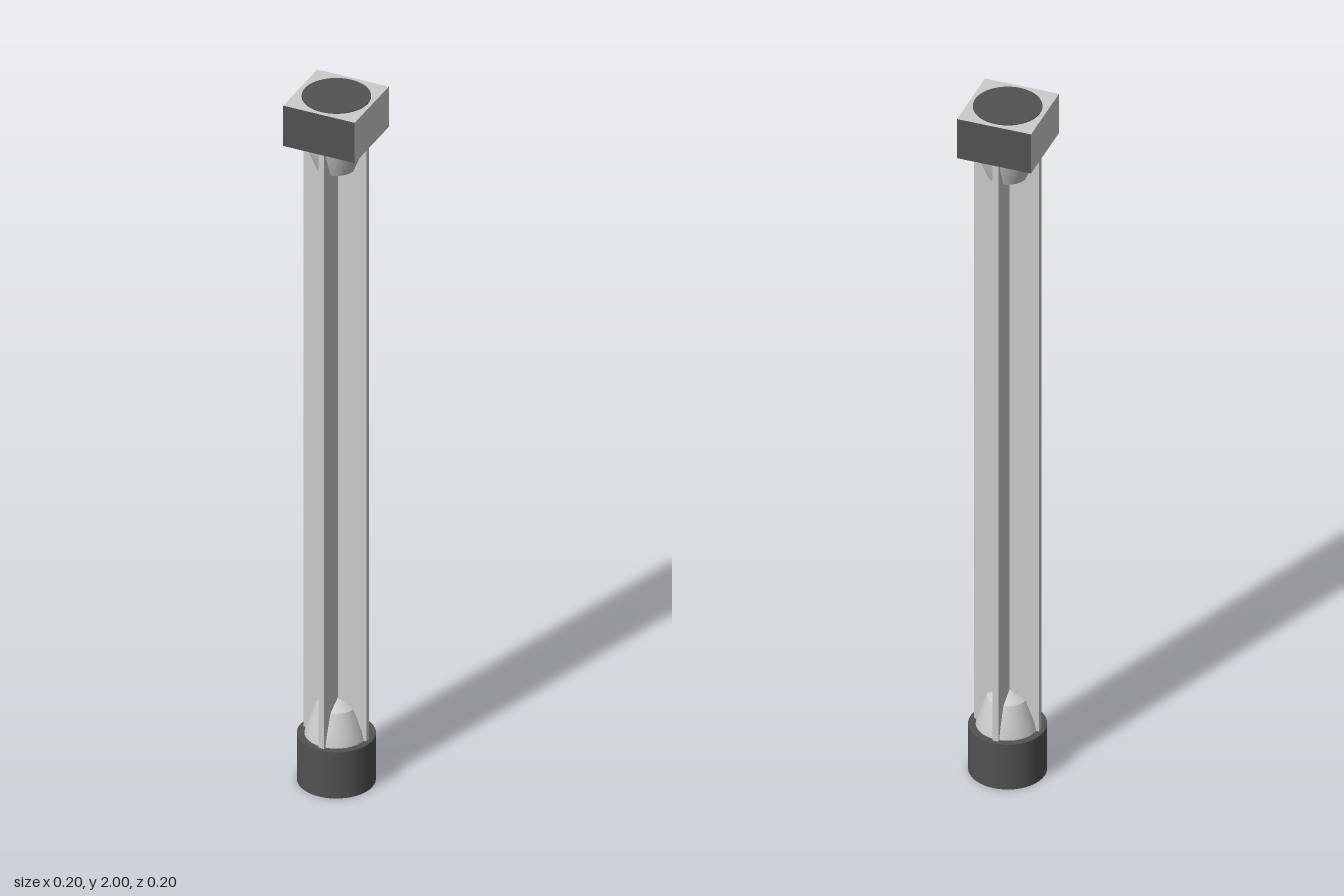
import * as THREE from 'three';
import { toCreasedNormals } from 'three/addons/utils/BufferGeometryUtils.js';

const light = new THREE.MeshStandardMaterial({ color: 0xcccccc });
const dark = new THREE.MeshStandardMaterial({ color: 0x525252 });

const SHAFT_BOTTOM = 0.12, SHAFT_TOP = 1.89, FIN_REACH = 0.088, FIN_THICKNESS = 0.016;

export function createModel() {
  const group = new THREE.Group();

  function add(name, geometry, material, x, y, z) {
    const mesh = new THREE.Mesh(geometry, material);
    mesh.name = name;
    mesh.position.set(x, y, z);
    group.add(mesh);
    return mesh;
  }

  // Round dark foot
  add('base', new THREE.CylinderGeometry(0.1, 0.1, 0.135, 48), dark, 0, 0.0675, 0);

  // Square head: light sides, dark front and back
  add('head', new THREE.BoxGeometry(0.2, 0.118, 0.2),
    [light, light, light, light, dark, dark], -0.001, 1.939, 0);

  // Dark disc set on top of the head
  add('topDisc', new THREE.CylinderGeometry(0.088, 0.088, 0.004, 48), dark, 0, 1.998, 0);

  // Cross-shaped shaft: four fins around the axis
  const shaftHeight = SHAFT_TOP - SHAFT_BOTTOM;
  const fins = new THREE.Group();
  fins.name = 'shaft';
  for (let i = 0; i < 4; i++) {
    const geometry = new THREE.BoxGeometry(FIN_REACH, shaftHeight, FIN_THICKNESS);
    geometry.translate(FIN_REACH / 2, SHAFT_BOTTOM + shaftHeight / 2, 0);
    const fin = new THREE.Mesh(geometry, light);
    fin.name = 'fin';
    fin.rotation.y = i * Math.PI / 2;
    fins.add(fin);
  }
  group.add(fins);

  // Tapered cores that fill the grooves at both ends of the shaft
  const profile = [[0, 0], [0.082, 0], [0.076, 0.03], [0.052, 0.09], [0, 0.12]]
    .map(([r, y]) => new THREE.Vector2(r, y));
  const core = toCreasedNormals(new THREE.LatheGeometry(profile, 32), 0.4);
  add('lowerCore', core, light, 0, 0.13, 0);
  add('upperCore', core, light, 0, 1.885, 0).rotation.x = Math.PI;

  return group;
}
